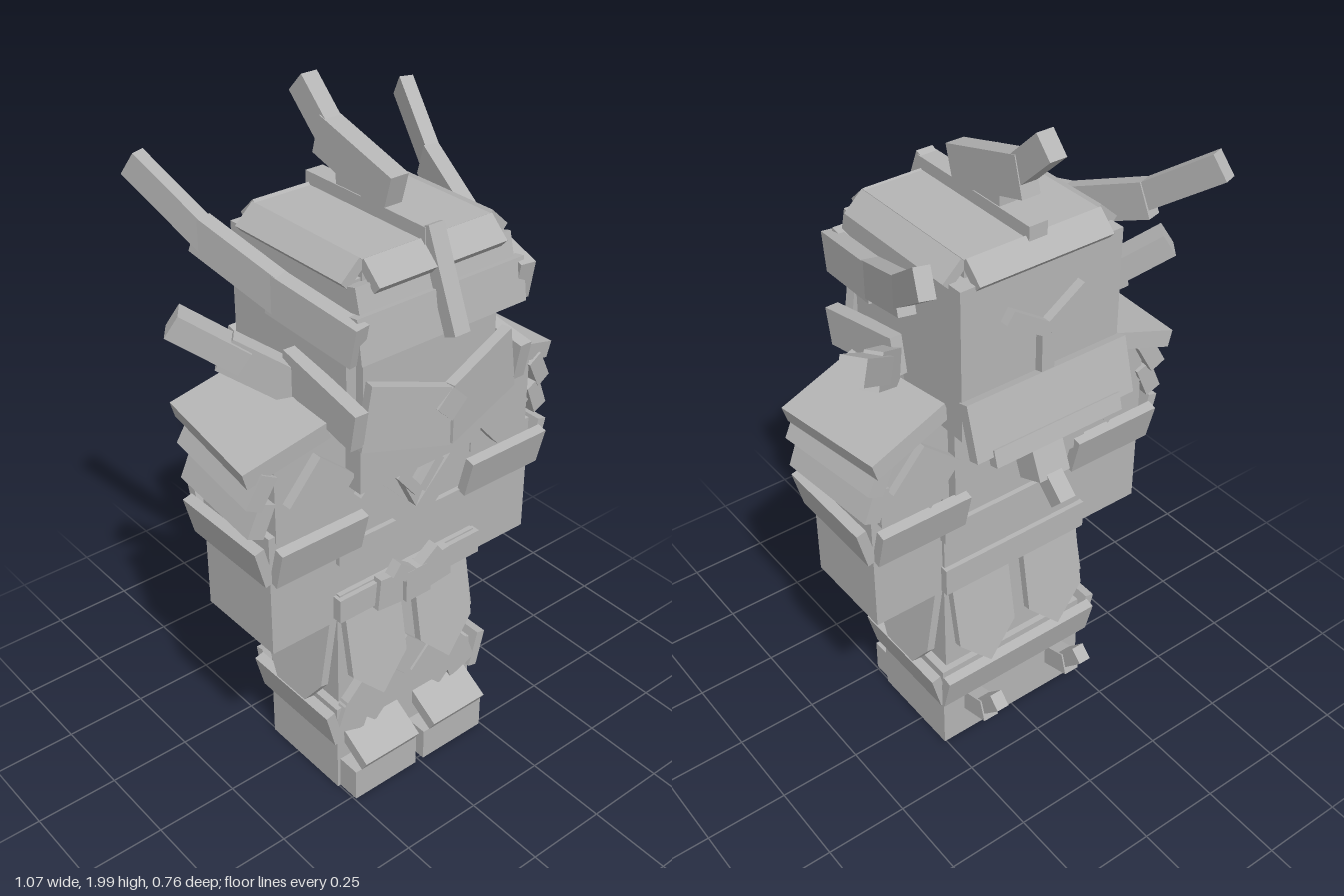
import * as THREE from 'three';

export function createModel() {
  const model = new THREE.Group();
  model.name = 'armoredFigure';
  const grey = new THREE.MeshStandardMaterial({ color: 0xb4b4b4 });
  grey.name = 'plain grey';

  function add(name, geometry, pos, rot = [0, 0, 0]) {
    const m = new THREE.Mesh(geometry, grey);
    m.name = name;
    m.position.set(...pos);
    m.rotation.set(rot[0], rot[1], rot[2], 'YXZ');
    model.add(m);
    return m;
  }
  const box = (name, size, pos, rot) => add(name, new THREE.BoxGeometry(...size), pos, rot);
  // box given by its limits
  const block = (name, x0, x1, y0, y1, z0, z1) =>
    box(name, [Math.abs(x1 - x0), y1 - y0, z1 - z0], [(x0 + x1) / 2, (y0 + y1) / 2, (z0 + z1) / 2]);
  // bar running from one point to another
  function bar(name, a, b, w, h) {
    const A = new THREE.Vector3(...a), B = new THREE.Vector3(...b);
    const m = box(name, [w, h, A.distanceTo(B)], A.clone().add(B).multiplyScalar(0.5).toArray());
    m.lookAt(B);
  }
  // flat extruded outline
  function panel(name, pts, depth, pos, rot) {
    const shape = new THREE.Shape(pts.map(p => new THREE.Vector2(...p)));
    add(name, new THREE.ExtrudeGeometry(shape, { depth, bevelEnabled: false }), pos, rot);
  }

  // body core
  block('boots', -0.255, 0.255, 0, 0.3, -0.12, 0.19);
  block('thighs', -0.23, 0.23, 0.3, 0.64, -0.1, 0.165);
  block('torso', -0.24, 0.24, 0.62, 1.24, -0.12, 0.18);
  block('beltBand', -0.245, 0.245, 0.62, 0.71, -0.135, 0.195);
  block('waistBand', -0.245, 0.245, 0.81, 0.87, -0.135, 0.195);
  block('chestPlate', -0.21, 0.21, 1.05, 1.26, 0.15, 0.24);
  block('backPlate', -0.22, 0.22, 0.95, 1.2, -0.15, -0.1);

  // head and helmet
  block('head', -0.25, 0.25, 1.22, 1.66, -0.225, 0.235);
  block('face', -0.22, 0.22, 1.22, 1.48, 0.2, 0.262);
  block('helmetTop', -0.205, 0.205, 1.64, 1.71, -0.18, 0.24);
  box('helmetFrontSlope', [0.41, 0.03, 0.08], [0, 1.675, 0.265], [0.75, 0, 0]);
  box('helmetBackSlope', [0.41, 0.03, 0.075], [0, 1.68, -0.205], [-0.75, 0, 0]);
  box('visor', [0.54, 0.12, 0.05], [0, 1.535, 0.285], [-0.15, 0, 0]);
  box('visorUpperBand', [0.5, 0.08, 0.06], [0, 1.615, 0.25], [-0.25, 0, 0]);
  block('helmetRidge', -0.028, 0.028, 1.7, 1.745, -0.2, 0.26);
  bar('foreheadStrip', [0, 1.745, 0.25], [0, 1.49, 0.355], 0.05, 0.04);
  bar('crestBase', [0, 1.775, 0.12], [0, 1.855, -0.155], 0.056, 0.11);
  box('crestFoot', [0.05, 0.06, 0.12], [0, 1.76, -0.02]);
  bar('crestTip', [0, 1.85, -0.12], [0, 1.965, -0.24], 0.05, 0.075);

  // emblem bars on the back of the head
  block('headBackStem', -0.02, 0.02, 1.32, 1.49, -0.25, -0.22);

  // neck guard and rear tassel
  box('neckGuard', [0.51, 0.16, 0.035], [0, 1.27, -0.258], [0.28, 0, 0]);
  box('neckGuardLower', [0.41, 0.05, 0.03], [0, 1.19, -0.29], [0.28, 0, 0]);
  box('tasselKnot', [0.1, 0.16, 0.09], [0, 1.09, -0.22], [0.4, 0, 0]);
  bar('tasselEnd', [0, 1.06, -0.23], [0, 0.97, -0.33], 0.05, 0.055);

  // central ornaments
  box('maskDiamond', [0.07, 0.07, 0.02], [0, 1.29, 0.338], [0, 0, Math.PI / 4]);
  box('beltKnot', [0.09, 0.1, 0.04], [0, 0.665, 0.22]);
  box('kneeDiamondCentre', [0.12, 0.12, 0.025], [0, 0.36, 0.185], [0, 0, Math.PI / 4]);
  panel('chestPoint', [[-0.06, 0.13], [0, 0.06], [0.06, 0.13], [0.04, 0.08], [0, 0], [-0.04, 0.08]],
    0.03, [0, 0.91, 0.19]);

  const tasset = w => [[-w, 0], [-w, -0.21], [0, -0.31], [w, -0.21], [w, 0]];

  for (const s of [1, -1]) {
    // helmet sides, horns and rear emblem arms
    box('helmetSideSlope', [0.075, 0.03, 0.42], [s * 0.23, 1.68, 0.03], [0, 0, -s * 0.75]);
    bar('hornRoot', [s * 0.27, 1.53, 0.31], [s * 0.315, 1.585, 0.04], 0.045, 0.11);
    bar('hornMiddle', [s * 0.308, 1.58, 0.07], [s * 0.375, 1.68, -0.18], 0.045, 0.1);
    bar('hornTip', [s * 0.365, 1.665, -0.14], [s * 0.44, 1.825, -0.36], 0.04, 0.075);
    bar('headBackArm', [0, 1.47, -0.236], [s * 0.12, 1.55, -0.236], 0.03, 0.04);

    // face mask
    panel('maskFront', [[0, 1.17], [s * 0.26, 1.23], [s * 0.23, 1.41], [0, 1.34]],
      0.03, [0, 0, 0.318], [0, s * 0.16, 0]);
    bar('maskSide', [s * 0.275, 1.3, 0.315], [s * 0.265, 1.355, 0.02], 0.04, 0.11);

    // collar spikes
    bar('spikeRoot', [s * 0.25, 1.3, 0.06], [s * 0.4, 1.41, -0.06], 0.05, 0.1);
    bar('spikeTip', [s * 0.36, 1.385, -0.03], [s * 0.5, 1.495, -0.135], 0.07, 0.07);

    // arms with layered shoulder plates
    block('forearm', s * 0.23, s * 0.46, 0.615, 0.99, -0.11, 0.18);
    block('upperArm', s * 0.23, s * 0.44, 0.97, 1.23, -0.13, 0.185);
    box('shoulderCap', [0.25, 0.05, 0.37], [s * 0.385, 1.235, 0.01], [0.06, s * 0.1, -s * 0.28]);
    box('shoulderPlateUpper', [0.05, 0.1, 0.35], [s * 0.465, 1.15, 0.015], [0.04, s * 0.09, s * 0.5]);
    box('shoulderPlateLower', [0.05, 0.1, 0.33], [s * 0.47, 1.06, 0.02], [0.02, s * 0.07, s * 0.4]);
    box('shoulderDiamond', [0.15, 0.15, 0.03], [s * 0.31, 1.09, 0.2], [0, 0, s * 0.72]);
    box('shoulderBackDiamond', [0.15, 0.15, 0.03], [s * 0.31, 1.09, -0.14], [0, 0, s * 0.72]);

    // flared forearm cuff
    box('cuffFront', [0.28, 0.12, 0.03], [s * 0.325, 0.92, 0.215], [0.25, 0, 0]);
    box('cuffBack', [0.28, 0.12, 0.03], [s * 0.325, 0.92, -0.145], [0.25, Math.PI, 0]);
    box('cuffSide', [0.32, 0.12, 0.03], [s * 0.485, 0.92, 0.035], [0.25, s * Math.PI / 2, 0]);

    // chest straps and belt ornament
    bar('chestStrap', [s * 0.17, 1.04, 0.205], [s * 0.005, 0.87, 0.205], 0.03, 0.06);
    bar('chestStrapInner', [s * 0.07, 1.05, 0.225], [s * 0.005, 0.97, 0.225], 0.025, 0.03);
    bar('beltKnotArm', [0, 0.68, 0.222], [s * 0.08, 0.74, 0.222], 0.035, 0.045);
    box('beltKnotWing', [0.1, 0.1, 0.03], [s * 0.08, 0.665, 0.21], [0, 0, s * 0.1]);
    block('beltPlate', s * 0.12, s * 0.255, 0.63, 0.705, 0.18, 0.21);

    // hanging skirt panels
    panel('skirtFront', tasset(0.098), 0.025, [s * 0.125, 0.63, 0.165], [-0.17, 0, 0]);
    panel('skirtBack', tasset(0.098), 0.025, [s * 0.125, 0.63, -0.105], [-0.17, Math.PI, 0]);
    panel('skirtSide', [[-0.125, 0], [-0.125, -0.24], [-0.06, -0.33], [0.06, -0.33], [0.125, -0.24], [0.125, 0]],
      0.025, [s * 0.225, 0.62, 0.035], [-0.16, s * Math.PI / 2, 0]);

    // boot rim, knee plates, toes and spurs
    box('bootRimSide', [0.34, 0.12, 0.03], [s * 0.275, 0.25, 0.035], [0.25, s * Math.PI / 2, 0]);
    box('bootRimBack', [0.27, 0.12, 0.03], [s * 0.135, 0.25, -0.145], [0.25, Math.PI, 0]);
    box('kneeDiamond', [0.16, 0.16, 0.03], [s * 0.125, 0.31, 0.19], [0, 0, Math.PI / 4]);
    box('kneeCorner', [0.1, 0.1, 0.03], [s * 0.2, 0.26, 0.19], [0, 0, s * 0.35]);
    block('toe', s * 0.015, s * 0.245, 0, 0.105, 0.18, 0.262);
    box('toePlate', [0.2, 0.04, 0.13], [s * 0.13, 0.165, 0.225], [0.55, 0, 0]);
    bar('spurRoot', [s * 0.155, 0.13, -0.1], [s * 0.155, 0.165, -0.21], 0.05, 0.07);
    bar('spurTip', [s * 0.155, 0.155, -0.18], [s * 0.155, 0.24, -0.26], 0.04, 0.05);
  }
  return model;
}
